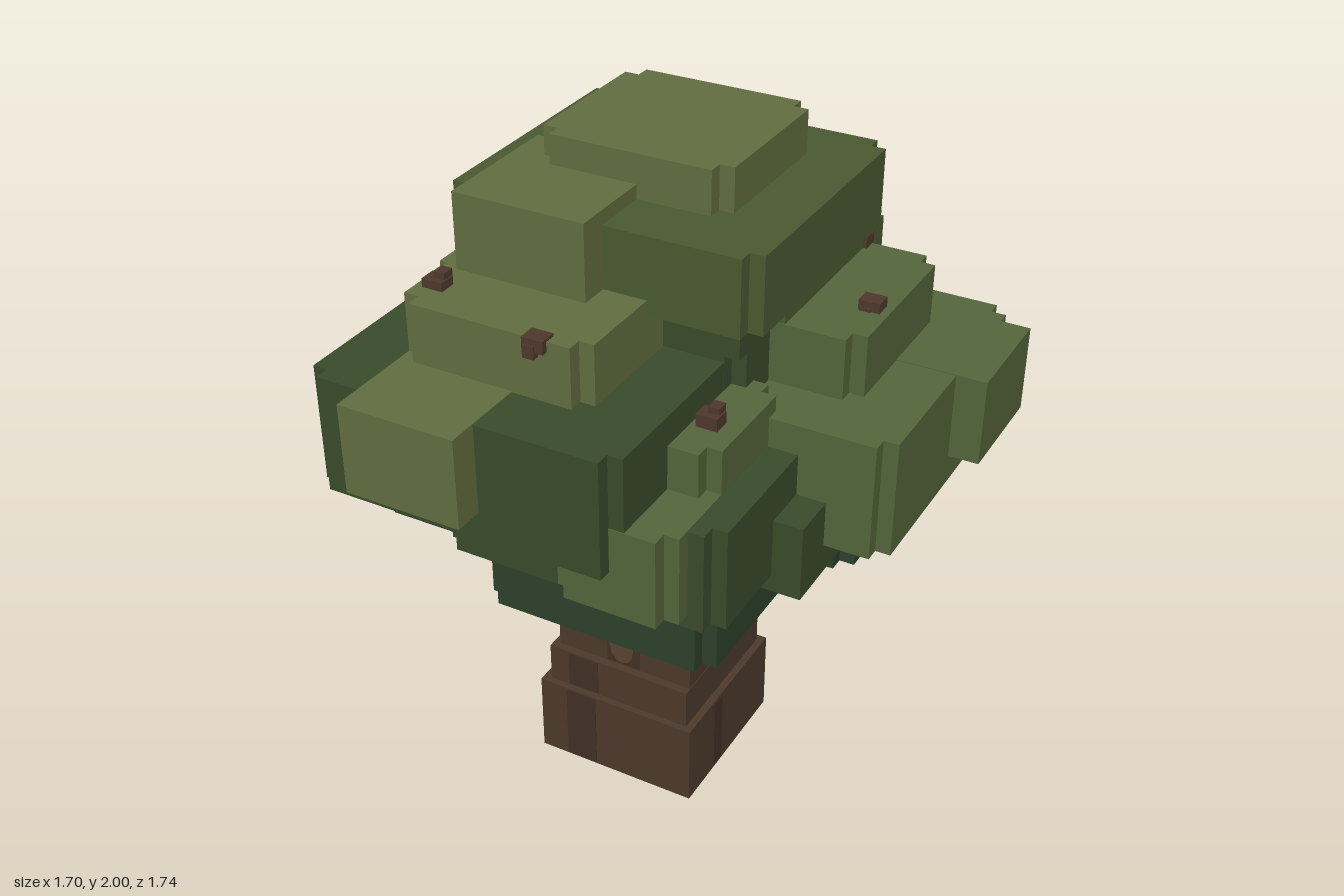
import * as THREE from 'three';

const material = (color) => new THREE.MeshStandardMaterial({ color, flatShading: true, roughness: 1 });

const MAT = {
  light: material(0x626e40),
  soft: material(0x55663b),
  mid: material(0x4a5a32),
  deep: material(0x3a4b2c),
  shade: material(0x2d422c),
  bark: material(0x4d3a2b),
  barkDark: material(0x413025),
  barkLight: material(0x5a4431),
  berry: material(0x4f382d),
};

// Axis-aligned block between two values per axis; a notch steps its four upright edges inward.
function block(parent, name, mat, [x0, x1], [y0, y1], [z0, z1], notch = 0) {
  const w = (x1 - x0) / 2, h = y1 - y0, d = (z1 - z0) / 2;
  let geometry;
  if (notch) {
    const quarter = [[w, d - notch], [w - notch, d - notch], [w - notch, d]];
    const points = [];
    for (const [sx, sz] of [[1, 1], [-1, 1], [-1, -1], [1, -1]]) {
      const corner = quarter.map(([x, z]) => new THREE.Vector2(sx * x, sz * z));
      points.push(...(sx * sz > 0 ? corner : corner.reverse()));
    }
    geometry = new THREE.ExtrudeGeometry(new THREE.Shape(points), { depth: h, bevelEnabled: false });
    geometry.rotateX(-Math.PI / 2).translate(0, -h / 2, 0);
  } else {
    geometry = new THREE.BoxGeometry(2 * w, h, 2 * d);
  }
  const mesh = new THREE.Mesh(geometry, mat);
  mesh.name = name;
  mesh.position.set((x0 + x1) / 2, (y0 + y1) / 2, (z0 + z1) / 2);
  parent.add(mesh);
  return mesh;
}

function createTrunk() {
  const trunk = new THREE.Group();
  trunk.name = 'trunk';

  // Stepped sections, narrowing upward
  const sections = [
    [[-0.30, 0.21], [0, 0.26], [-0.27, 0.235]],
    [[-0.275, 0.187], [0.26, 0.385], [-0.25, 0.215]],
    [[-0.255, 0.185], [0.385, 0.53], [-0.248, 0.19]],
    [[-0.21, 0.165], [0.53, 0.66], [-0.235, 0.17]],
    [[-0.19, 0.163], [0.66, 0.79], [-0.23, 0.15]],
    [[-0.19, 0.163], [0.79, 0.86], [-0.205, 0.15]],
    [[-0.17, 0.14], [0.86, 1.0], [-0.185, 0.13]],
  ];
  sections.forEach((s, i) => block(trunk, `trunkSection${i + 1}`, MAT.bark, ...s));

  // Stubs where branches enter the leaves
  block(trunk, 'branchStub', MAT.bark, [-0.04, 0.10], [0.835, 0.93], [0.05, 0.187]);
  block(trunk, 'branchStub', MAT.bark, [-0.233, -0.12], [0.90, 1.0], [-0.12, 0.0]);

  // Dark bark streaks: thin strips on the faces
  const t = 0.002;
  block(trunk, 'barkStreak', MAT.barkDark, [-0.21, -0.11], [0.005, 0.255], [0.2, 0.235 + t]);
  block(trunk, 'barkStreak', MAT.barkDark, [-0.21, -0.11], [0.265, 0.38], [0.19, 0.215 + t]);
  block(trunk, 'barkStreak', MAT.barkDark, [-0.09, 0.02], [0.39, 0.525], [0.17, 0.19 + t]);
  block(trunk, 'barkStreak', MAT.barkDark, [-0.09, 0.02], [0.535, 0.655], [0.15, 0.17 + t]);
  block(trunk, 'barkStreak', MAT.barkDark, [0.18, 0.21 + t], [0.005, 0.255], [0.03, 0.08]);
  block(trunk, 'barkStreak', MAT.barkDark, [0.14, 0.165 + t], [0.535, 0.655], [-0.17, -0.12]);
  block(trunk, 'barkStreak', MAT.barkDark, [-0.19, -0.10], [0.265, 0.38], [-0.25 - t, -0.2]);

  // Round knot on the front
  const knot = new THREE.Mesh(new THREE.CylinderGeometry(0.04, 0.04, 0.01, 12), MAT.barkLight);
  knot.name = 'knot';
  knot.scale.z = 1.5;
  knot.rotation.x = Math.PI / 2;
  knot.position.set(-0.04, 0.455, 0.19);
  trunk.add(knot);
  return trunk;
}

function createFoliage() {
  const foliage = new THREE.Group();
  foliage.name = 'foliage';
  const n = 0.042;
  const leaf = (name, mat, x, y, z, notch) => block(foliage, name, MAT[mat], x, y, z, notch);

  // Underside
  leaf('lowerFrontLeaves', 'shade', [-0.21, 0.465], [0.857, 1.10], [0.02, 0.617], n);
  leaf('lowerLeaves', 'shade', [-0.68, 0.633], [0.94, 1.15], [-0.53, 0.15], n);
  leaf('lowerBackLeaves', 'shade', [-0.45, 0.2], [1.11, 1.3], [-0.70, -0.1], n);
  leaf('frontUnderLeaves', 'shade', [-0.51, 0.25], [1.065, 1.25], [0.0, 0.64], n);

  // Front left corner
  leaf('cornerLeaves', 'deep', [-0.30, 0.51], [1.03, 1.32], [0.0, 0.66], n);
  leaf('cornerFrontBulge', 'soft', [0.08, 0.425], [1.07, 1.325], [0.4, 0.745], n);
  leaf('cornerTopBulge', 'soft', [0.05, 0.425], [1.25, 1.45], [0.15, 0.53], n);
  leaf('cornerSideBulge', 'deep', [0.2, 0.593], [0.98, 1.2], [-0.1, 0.365]);

  // Left side (+x)
  leaf('leftLeaves', 'soft', [-0.05, 0.762], [1.068, 1.405], [-0.615, 0.23], n);
  leaf('leftBulge', 'soft', [0.5, 0.848], [1.155, 1.407], [-0.53, -0.195]);
  leaf('leftUpperLeaves', 'soft', [0.05, 0.593], [1.3, 1.58], [-0.475, 0.062], n);

  // Right side (-x)
  leaf('rightLeaves', 'mid', [-0.77, 0.0], [1.07, 1.32], [-0.4, 0.23], n);
  leaf('rightBackLeaves', 'mid', [-0.81, -0.1], [1.02, 1.317], [-0.575, -0.1], n);
  leaf('rightUpperBulge', 'mid', [-0.683, -0.3], [1.2, 1.45], [-0.53, -0.15]);
  leaf('rightBulge', 'light', [-0.853, -0.55], [1.155, 1.363], [-0.45, -0.155]);

  // Front
  leaf('frontLeaves', 'deep', [-0.597, 0.297], [1.197, 1.533], [-0.02, 0.785], n);
  leaf('frontBulge', 'light', [-0.427, -0.09], [1.28, 1.536], [0.53, 0.87]);
  leaf('frontUpperLeaves', 'light', [-0.427, 0.122], [1.45, 1.702], [0.06, 0.613], n);
  leaf('frontTopBulge', 'light', [-0.385, -0.003], [1.66, 1.917], [0.0, 0.402]);

  // Back
  leaf('backLeaves', 'mid', [-0.597, 0.255], [1.23, 1.536], [-0.79, 0.02], n);
  leaf('backBulge', 'mid', [-0.51, -0.175], [1.32, 1.578], [-0.872, -0.53]);
  leaf('backUpperBulge', 'mid', [-0.04, 0.34], [1.62, 1.79], [-0.615, -0.25]);

  // Crown
  leaf('crownCore', 'deep', [-0.425, 0.34], [1.35, 1.64], [-0.3, 0.235], n);
  leaf('crownBase', 'mid', [-0.425, 0.38], [1.4, 1.62], [-0.615, 0.1], n);
  leaf('crownNeck', 'deep', [-0.4, 0.34], [1.55, 1.68], [-0.42, 0.235]);
  leaf('crownLeaves', 'mid', [-0.47, 0.422], [1.66, 1.877], [-0.487, 0.317], n);
  leaf('crownCap', 'light', [-0.30, 0.25], [1.82, 2.0], [-0.36, 0.145], n);
  return foliage;
}

// Small brown buds, each a block with a smaller one beside it
function createBuds() {
  const buds = new THREE.Group();
  buds.name = 'buds';
  const spots = [
    [-0.59, 1.535, -0.075], [-0.375, 1.708, 0.5], [-0.015, 1.692, 0.605], [0.345, 1.47, 0.395],
    [0.54, 1.59, -0.13], [-0.10, 1.705, -0.625], [0.36, 1.595, -0.46], [-0.44, 1.6, -0.47],
  ];
  spots.forEach(([x, y, z], i) => {
    const s = i % 2 ? 1 : -1;
    const around = (c, r) => [c - r, c + r];
    block(buds, 'bud', MAT.berry, around(x, 0.03), around(y, 0.018), around(z, 0.025));
    block(buds, 'budTip', MAT.berry, around(x + s * 0.01, 0.016), around(y + s * 0.018, 0.018), around(z - s * 0.012, 0.018));
  });
  return buds;
}

export function createModel() {
  const tree = new THREE.Group();
  tree.name = 'tree';
  tree.add(createTrunk(), createFoliage(), createBuds());
  return tree;
}
